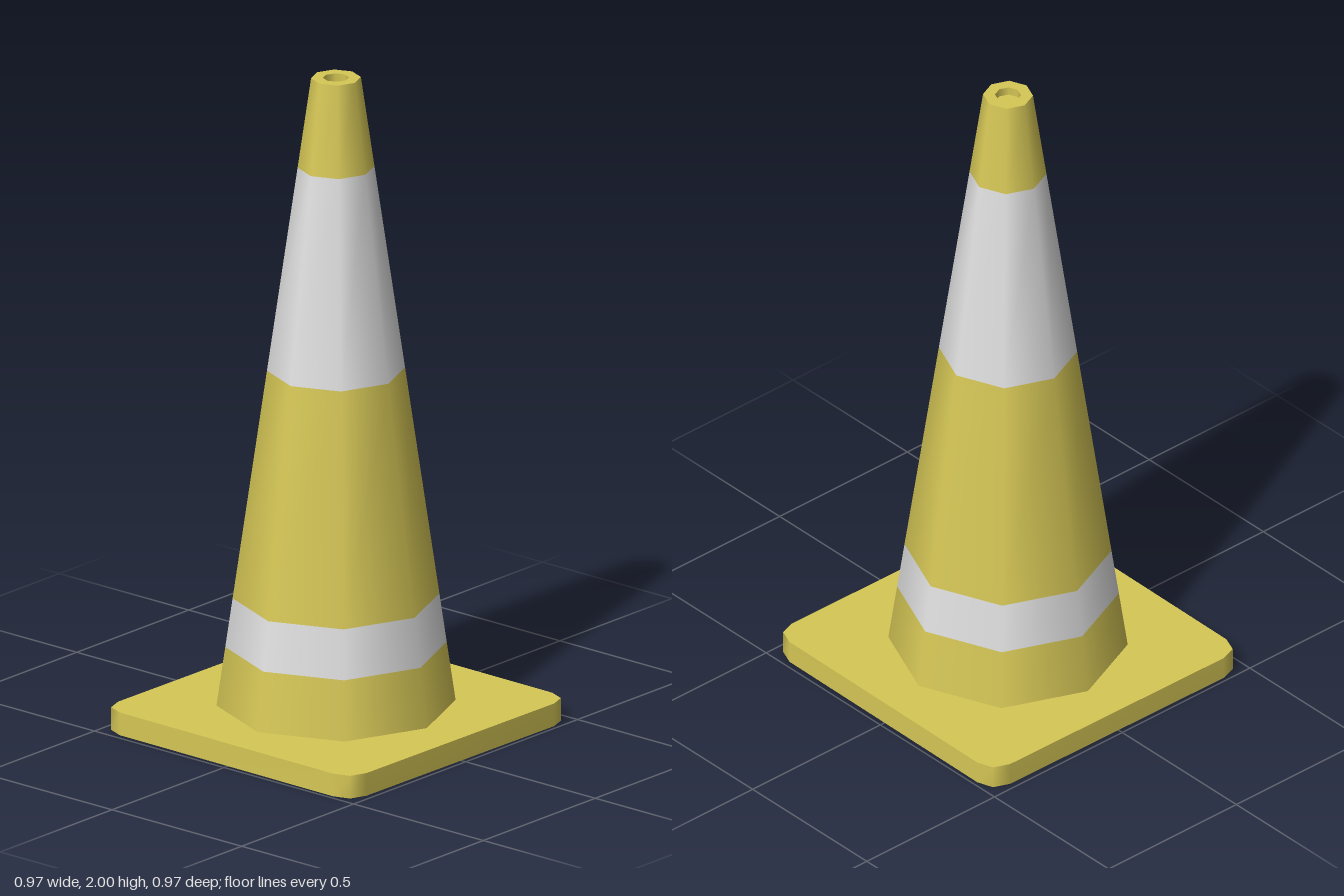
import * as THREE from 'three';

const SIDES = 8;
const BASE_TOP = 0.07, TOP = 2;
const R_BOTTOM = 0.35, R_TOP = 0.073, R_HOLE = 0.038, HOLE_FLOOR = 1.975;

const coneRadius = (y) => THREE.MathUtils.mapLinear(y, BASE_TOP, TOP, R_BOTTOM, R_TOP);

export function createModel() {
  const group = new THREE.Group();
  const yellow = new THREE.MeshStandardMaterial({ color: 0xd6c756, side: THREE.DoubleSide });
  yellow.name = 'yellow';
  const white = new THREE.MeshStandardMaterial({ color: 0xe0e0e0, side: THREE.DoubleSide });
  white.name = 'white';

  const add = (name, geometry, material, y = 0) => {
    const mesh = new THREE.Mesh(geometry, material);
    mesh.name = name;
    mesh.position.y = y;
    group.add(mesh);
  };

  // Hollow cone body, split into coloured bands
  const bands = [
    ['lowerBody', 0.07, 0.25, yellow],
    ['lowerStripe', 0.25, 0.4, white],
    ['middleBody', 0.4, 1.1, yellow],
    ['upperStripe', 1.1, 1.725, white],
    ['tip', 1.725, 2, yellow],
  ];
  for (const [name, y0, y1, material] of bands) {
    add(name, new THREE.CylinderGeometry(coneRadius(y1), coneRadius(y0), y1 - y0, SIDES, 1, true),
      material, (y0 + y1) / 2);
  }

  // Flat rim with a small recessed hole at the tip
  add('tipRim', new THREE.RingGeometry(R_HOLE, R_TOP, SIDES).rotateX(-Math.PI / 2), yellow, TOP);
  add('tipHoleWall', new THREE.CylinderGeometry(R_HOLE, R_HOLE, TOP - HOLE_FLOOR, SIDES, 1, true),
    yellow, (TOP + HOLE_FLOOR) / 2);
  add('tipHoleFloor', new THREE.CircleGeometry(R_HOLE, SIDES).rotateX(-Math.PI / 2), yellow, HOLE_FLOOR);

  // Base outline: one slightly skewed cut corner turned four times (shape y is -z)
  const outline = [];
  for (let i = 0; i < 4; i++) {
    for (const [x, y] of [[0.487, 0.41], [0.47, 0.46], [0.42, 0.48]]) {
      outline.push(new THREE.Vector2(x, y).rotateAround(new THREE.Vector2(), i * Math.PI / 2));
    }
  }

  // Base plate, open where the cone stands
  const plate = new THREE.Shape(outline);
  const opening = [];
  for (let i = 0; i < SIDES; i++) {
    const a = -i / SIDES * Math.PI * 2;
    opening.push(new THREE.Vector2(Math.cos(a) * R_BOTTOM, Math.sin(a) * R_BOTTOM));
  }
  plate.holes.push(new THREE.Path(opening));
  add('basePlate', new THREE.ShapeGeometry(plate).rotateX(-Math.PI / 2), yellow, BASE_TOP);

  // Skirt around the base, open underneath
  const positions = [], index = [];
  outline.forEach((p, i) => {
    positions.push(p.x, 0, -p.y, p.x, BASE_TOP, -p.y);
    const a = i * 2, b = ((i + 1) % outline.length) * 2;
    index.push(a, b, b + 1, a, b + 1, a + 1);
  });
  const skirt = new THREE.BufferGeometry();
  skirt.setAttribute('position', new THREE.Float32BufferAttribute(positions, 3));
  skirt.setIndex(index);
  skirt.computeVertexNormals();
  add('baseSkirt', skirt, yellow);

  return group;
}
